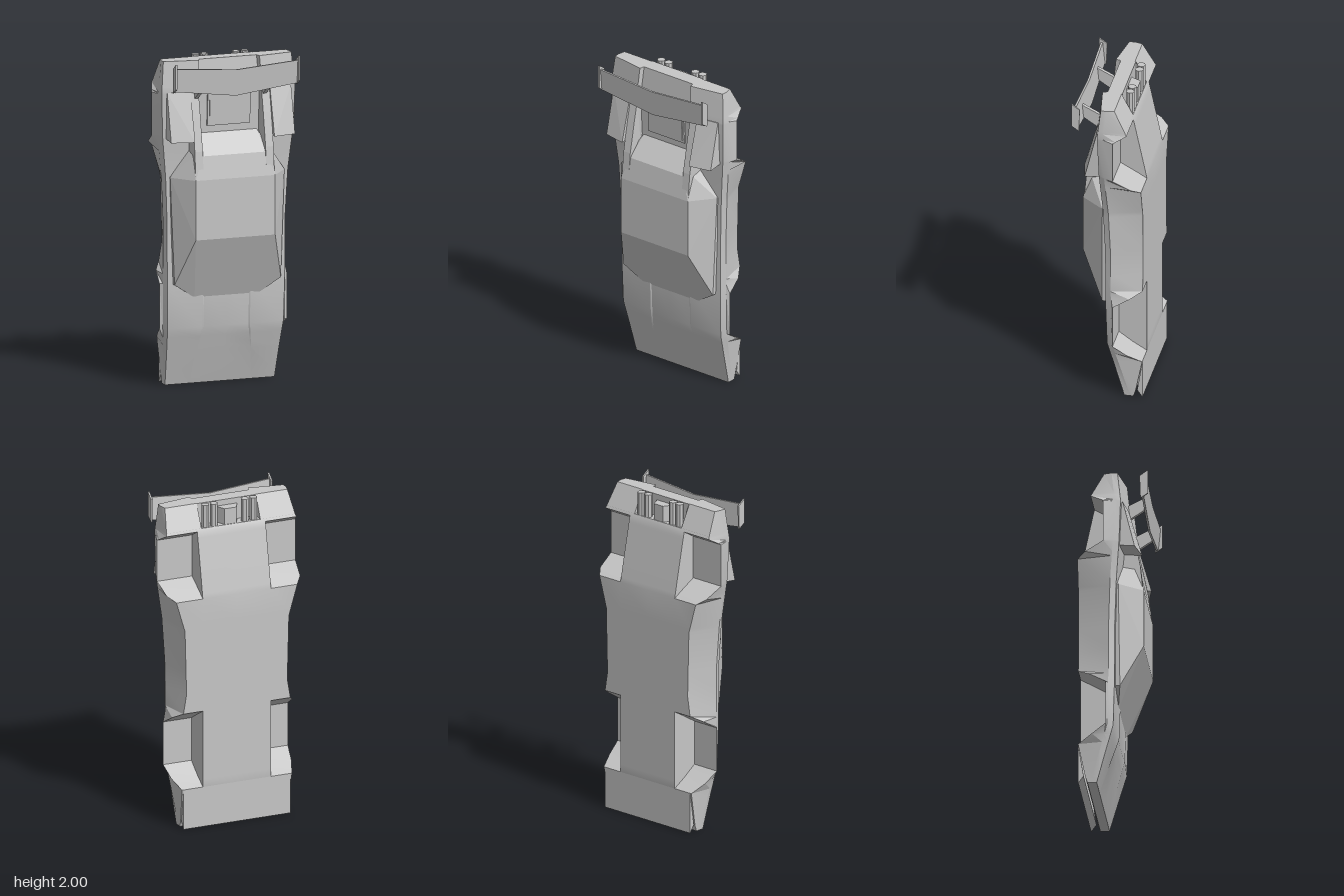
import * as THREE from 'three';
import { toCreasedNormals } from 'three/addons/utils/BufferGeometryUtils.js';
import { ConvexGeometry } from 'three/addons/geometries/ConvexGeometry.js';

const grey = new THREE.MeshStandardMaterial({ color: 0xc6c6c6, side: THREE.DoubleSide });
grey.name = 'bodyGrey';

// Upper shell: y, widest x, shoulder x, shoulder z, crease x, crease z, centre z
const upper = [
  [0, 0.345, 0.345, -0.1, 0.2, -0.1, -0.1],
  [0.2, 0.365, 0.355, -0.045, 0.175, -0.037, -0.039],
  [0.36, 0.383, 0.365, 0.0, 0.15, 0.012, 0.007],
  [0.63, 0.385, 0.37, 0.008, 0.15, 0.022, 0.018],
  [1.0, 0.385, 0.372, 0.01, 0.25, 0.024, 0.024],
  [1.28, 0.4, 0.385, 0.02, 0.25, 0.03, 0.03],
  [1.54, 0.43, 0.412, 0.04, 0.2, 0.06, 0.04],
  [1.8, 0.428, 0.42, 0.05, 0.2, 0.085, 0.055],
  [1.985, 0.405, 0.403, 0.03, 0.19, 0.065, 0.035],
];

// Underside: y, wheel well inner x, floor z, wheel well roof z, lower edge x
const lower = [
  [0, 0.22, -0.155, -0.155, 0.345],
  [0.04, 0.22, -0.168, -0.168, 0.345],
  [0.25, 0.22, -0.21, -0.21, 0.355],
  [0.3, 0.22, -0.21, -0.125, 0.388],
  [0.36, 0.22, -0.21, -0.04, 0.403],
  [0.63, 0.22, -0.21, -0.04, 0.403],
  [0.69, 0.22, -0.21, -0.14, 0.388],
  [0.73, 0.22, -0.21, -0.21, 0.345],
  [0.85, 0.22, -0.21, -0.21, 0.325],
  [1.25, 0.22, -0.21, -0.21, 0.335],
  [1.44, 0.22, -0.21, -0.21, 0.39],
  [1.47, 0.22, -0.204, -0.16, 0.43],
  [1.53, 0.22, -0.192, -0.05, 0.447],
  [1.79, 0.22, -0.138, -0.05, 0.447],
  [1.835, 0.22, -0.128, -0.128, 0.42],
  [1.85, 0.19, -0.12, -0.12, 0.415],
  [1.851, 0.19, -0.055, -0.12, 0.415],
  [1.985, 0.19, -0.055, -0.05, 0.395],
];

// Linear interpolation of a table of rows keyed by y
function sample(table, y) {
  const i = Math.max(1, table.findIndex((r) => r[0] >= y - 1e-6));
  const a = table[i - 1], b = table[i], t = (y - a[0]) / (b[0] - a[0]);
  return a.map((v, k) => v + (b[k] - v) * t);
}

// One closed cross-section, 16 points, from floor centre round the +x side
function section(y) {
  const [, xm, xs, zs, xc, zc, zd] = sample(upper, y);
  const [, w, zb, zw, xb] = sample(lower, y);
  const half = [[0, zb], [w, zb], [w, zw], [xb, zw], [xm, zs - 0.035], [xs, zs], [xc, zc], [xc - 0.008, zd], [0, zd]];
  const mirror = half.slice(1, 8).reverse().map(([x, z]) => [-x, z]);
  return [...half, ...mirror].map(([x, z]) => [x, y, z]);
}

function bodyGeometry() {
  const ys = [...new Set([...upper, ...lower].map((r) => r[0]))].sort((a, b) => a - b);
  const rings = ys.map(section);
  const n = 16, pos = [];
  const tri = (a, b, c) => pos.push(...a, ...b, ...c);
  const quad = (a, b, c, d) => { tri(a, b, c); tri(a, c, d); };
  for (let r = 0; r < rings.length - 1; r++) {
    const A = rings[r], B = rings[r + 1];
    for (let i = 0; i < n; i++) {
      const j = (i + 1) % n;
      quad(A[i], B[i], B[j], A[j]);
    }
  }
  // end caps as horizontal strips, leaving the deck channel open
  const cap = (R, face) => {
    for (let k = 0; k < 5; k++) face(R[k], R[k + 1], R[15 - k], R[(16 - k) % n]);
    face(R[5], R[7], R[9], R[11]);
    face(R[5], R[6], R[7], R[7]);
    face(R[9], R[10], R[11], R[11]);
  };
  cap(rings[0], (a, b, c, d) => quad(a, b, c, d));
  cap(rings[rings.length - 1], (a, b, c, d) => quad(d, c, b, a));
  const g = new THREE.BufferGeometry();
  g.setAttribute('position', new THREE.Float32BufferAttribute(pos, 3));
  return toCreasedNormals(g, 0.35);
}

// Convex solid from corner points; side = 1 or -1 mirrors it in x
function hull(points, side = 1) {
  return new ConvexGeometry(points.map(([x, y, z]) => new THREE.Vector3(x * side, y, z)));
}

// Slab with a (y, z) outline, centred at x
function slab(outline, x, width) {
  const shape = new THREE.Shape(outline.map(([y, z]) => new THREE.Vector2(y, z)));
  const g = new THREE.ExtrudeGeometry(shape, { depth: width, bevelEnabled: false });
  // (y, z, x) -> (x, y, z)
  g.applyMatrix4(new THREE.Matrix4().set(0, 0, 1, x - width / 2, 1, 0, 0, 0, 0, 1, 0, 0, 0, 0, 0, 1));
  return g;
}

export function createModel() {
  const model = new THREE.Group();
  model.name = 'raceCarShell';
  const add = (name, geometry) => {
    const m = new THREE.Mesh(geometry, grey);
    m.name = name;
    model.add(m);
    return m;
  };

  add('body', bodyGeometry());
  add('noseSplitter', slab([[0, -0.21], [0.25, -0.21], [0.045, -0.178]], 0, 0.69));

  // Cabin with windscreen, side glass and rear window
  const cabin = [];
  for (const s of [1, -1]) {
    cabin.push([0.2, 0.54, 0.013], [0.335, 0.63, 0.037], [0.335, 0.63, 0], [0.25, 0.92, 0.17],
      [0.25, 1.28, 0.17], [0.36, 1.28, 0.03], [0.36, 1.28, 0], [0.25, 1.42, 0.115],
      [0.2, 1.42, 0.145], [0.18, 1.54, 0.04], [0.18, 1.54, 0.01]);
    if (s === 1) cabin.forEach((p) => (p.side = 1));
  }
  add('cabin', hull(cabin.map(([x, y, z], i) => [i < 11 ? x : -x, y, z])));

  // Engine hatch with a raised inner panel
  const hatch = add('hatchFrame', new THREE.BoxGeometry(0.27, 0.215, 0.03));
  hatch.position.set(0, 1.69, 0.044);
  hatch.rotation.x = 0.058;
  const panel = add('hatchPanel', new THREE.BoxGeometry(0.245, 0.19, 0.03));
  panel.position.set(0, 1.695, 0.05);
  panel.rotation.x = 0.058;

  // Rear wing, a shallow V leaning with height
  const wing = new THREE.ExtrudeGeometry(new THREE.Shape([
    [-0.385, 1.97], [-0.385, 1.83], [0, 1.78], [0.385, 1.83], [0.385, 1.97], [0, 1.94],
  ].map(([x, y]) => new THREE.Vector2(x, y))), { depth: 0.012, bevelEnabled: false });
  const p = wing.attributes.position;
  for (let i = 0; i < p.count; i++) p.setZ(i, p.getZ(i) + 0.178 + (p.getY(i) - 1.88) * 0.1);
  wing.computeVertexNormals();
  add('rearWing', wing);

  for (const s of [1, -1]) {
    const side = s > 0 ? 'left' : 'right';
    add(side + 'Buttress', slab([[1.25, 0.168], [1.45, 0.148], [1.65, 0.108], [1.8, 0.075], [1.8, 0.03], [1.25, 0.02]], s * 0.223, 0.05));
    add(side + 'Scoop', hull([[0.25, 1.51, 0.16], [0.39, 1.51, 0.13], [0.39, 1.52, 0.035], [0.25, 1.52, 0.035],
      [0.39, 1.8, 0.06], [0.25, 1.8, 0.08], [0.39, 1.8, 0.04], [0.25, 1.8, 0.04]], s));
    add(side + 'WingStrut', slab([[1.84, 0.06], [1.75, 0.07], [1.82, 0.176], [1.9, 0.18]], s * 0.215, 0.022));
    add(side + 'WingEndPlate', slab([[2, 0.21], [1.965, 0.16], [1.82, 0.165], [1.85, 0.21]], s * 0.387, 0.01));
    for (const x of [0.1, 0.155]) {
      const pipe = add(side + 'Exhaust', new THREE.CylinderGeometry(0.025, 0.025, 0.15, 8).toNonIndexed());
      pipe.geometry.computeVertexNormals();
      pipe.position.set(s * x, 1.915, -0.096);
    }
  }

  // Tapered gearbox block between the exhausts
  const block = [];
  for (const y of [1.84, 1.95]) for (const s of [1, -1]) block.push([s * 0.038, y, -0.116], [s * 0.068, y, -0.055]);
  add('gearbox', hull(block));
  return model;
}
